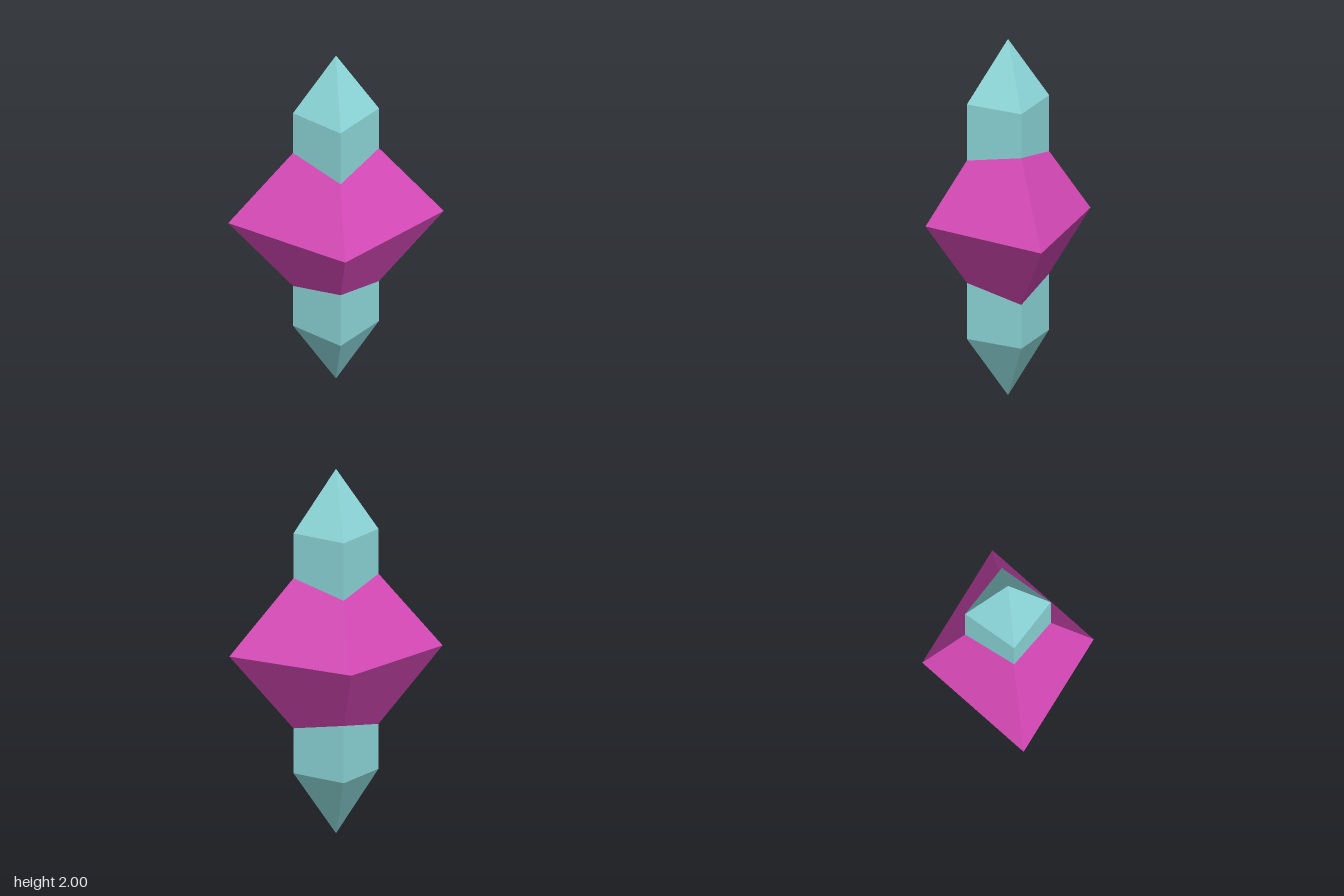
import * as THREE from 'three';

const cyan = new THREE.MeshStandardMaterial({ name: 'paleCyan', color: 0x90dcdf, flatShading: true });
const magenta = new THREE.MeshStandardMaterial({ name: 'magenta', color: 0xda4aba, flatShading: true });

// Four-sided solid from a [radius, y] profile, with its corners on the x and z axes
function facetedSolid(name, profile, material) {
  const points = profile.map(([r, y]) => new THREE.Vector2(r, y));
  const geometry = new THREE.LatheGeometry(points, 4).toNonIndexed();
  geometry.computeVertexNormals();
  const mesh = new THREE.Mesh(geometry, material);
  mesh.name = name;
  return mesh;
}

export function createModel() {
  const model = new THREE.Group();
  model.name = 'crystal';

  // Tall square shaft, pointed at both ends
  model.add(facetedSolid('shaft', [[0, 0], [0.227, 0.342], [0.227, 1.658], [0, 2]], cyan));

  // Wide bipyramid around the middle, narrower front to back
  const collar = facetedSolid('collar', [[0, 0.315], [1, 1], [0, 1.685]], magenta);
  collar.geometry.scale(0.569, 1, 0.455);
  collar.geometry.computeVertexNormals();
  model.add(collar);

  return model;
}
